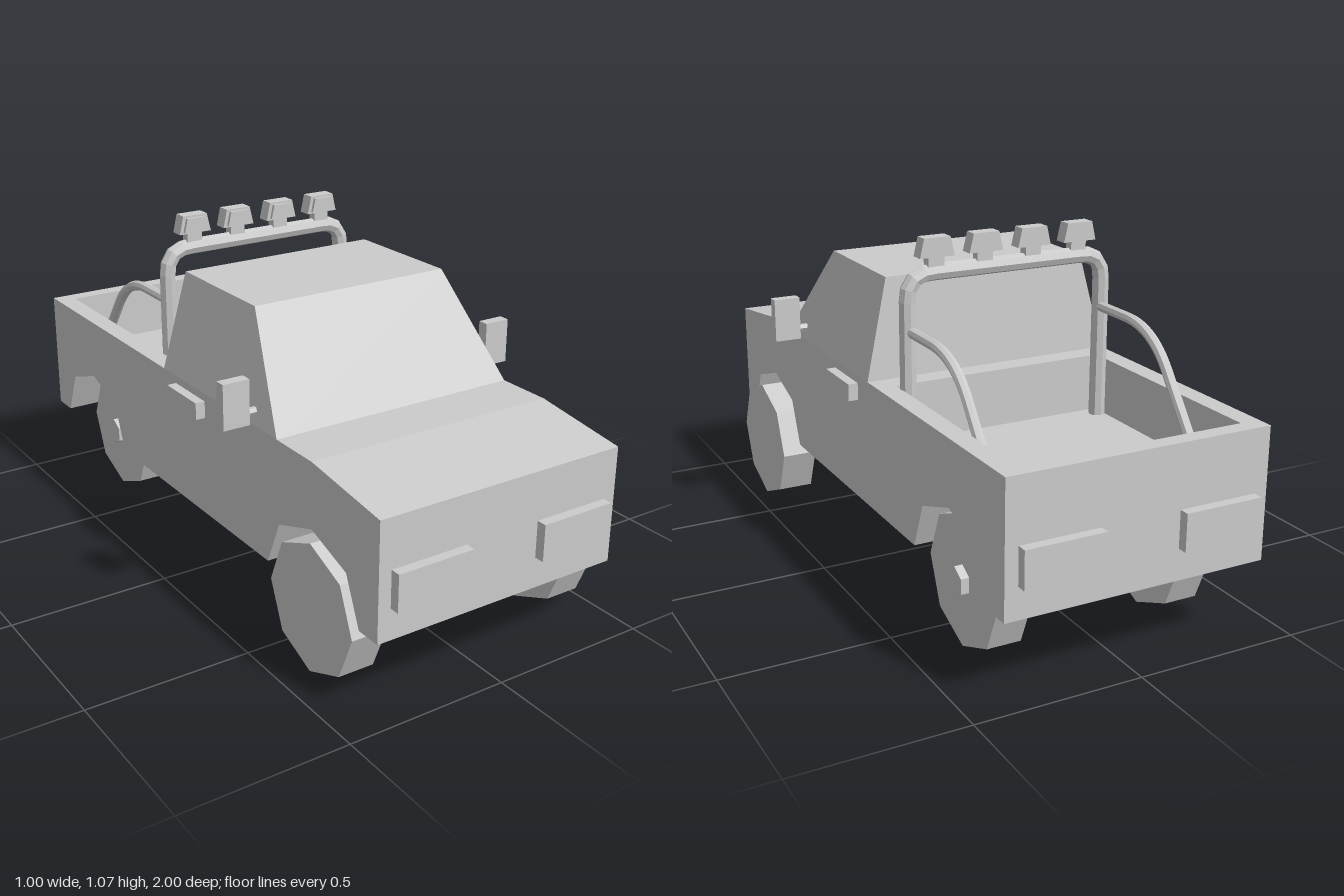
import * as THREE from 'three';

const grey = new THREE.MeshStandardMaterial({ color: 0xcccccc, flatShading: true });

export function createModel() {
  const truck = new THREE.Group();
  truck.name = 'pickupTruck';

  const add = (name, geometry, x = 0, y = 0, z = 0, parent = truck) => {
    const mesh = new THREE.Mesh(geometry, grey);
    mesh.name = name;
    mesh.position.set(x, y, z);
    parent.add(mesh);
    return mesh;
  };
  const box = (name, w, h, d, x, y, z, parent) =>
    add(name, new THREE.BoxGeometry(w, h, d), x, y, z, parent);

  // Side profile given as [z, y] points, extruded across x from x0 to x1
  const slab = (name, points, x0, x1) => {
    const shape = new THREE.Shape(points.map(([z, y]) => new THREE.Vector2(-z, y)));
    const geometry = new THREE.ExtrudeGeometry(shape, { depth: x1 - x0, bevelEnabled: false });
    add(name, geometry.rotateY(Math.PI / 2), x0);
  };

  // Cylinder lying along x with a corner pointing straight forward
  const roller = (name, radius, x0, x1, y, z, sides) => {
    const geometry = new THREE.CylinderGeometry(radius, radius, x1 - x0, sides);
    add(name, geometry.rotateZ(Math.PI / 2).rotateX(sides === 6 ? Math.PI / 2 : 0), (x0 + x1) / 2, y, z);
  };

  // Body: outline with wheel arches; the middle section has the bed cut out
  const bottom = [
    [-0.97, 0.24], [-0.885, 0.24], [-0.825, 0.38], [-0.665, 0.435], [-0.505, 0.38], [-0.45, 0.24],
    [0.45, 0.24], [0.51, 0.38], [0.67, 0.435], [0.83, 0.38], [0.89, 0.24], [0.97, 0.24],
  ];
  const hood = [[0.97, 0.59], [0.67, 0.63]];
  const bed = [[-0.21, 0.63], [-0.21, 0.455], [-0.92, 0.455], [-0.92, 0.63]];
  slab('bodyMiddleWithBed', [...bottom, ...hood, ...bed, [-0.97, 0.63]], -0.34, 0.34);
  slab('bodySideLeft', [...bottom, ...hood, [-0.97, 0.63]], 0.34, 0.4);
  slab('bodySideRight', [...bottom, ...hood, [-0.97, 0.63]], -0.4, -0.34);

  // Cab: a box narrowed towards the roof
  const cab = new THREE.BoxGeometry(0.8, 0.3, 1);
  const p = cab.attributes.position;
  for (let i = 0; i < p.count; i++) {
    const top = p.getY(i) > 0;
    const front = p.getZ(i) > 0;
    p.setX(i, Math.sign(p.getX(i)) * (top ? 0.327 : 0.4));
    p.setZ(i, front ? (top ? 0.275 : 0.5) : (top ? -0.12 : -0.142));
  }
  cab.computeVertexNormals();
  add('cab', cab, 0, 0.78, 0);

  // Wheels and axles, set slightly towards the left
  const shift = 0.0225;
  for (const side of [1, -1]) {
    const wheel = (name, inner, outer, y, z) => {
      const ends = [shift + side * inner, shift + side * outer];
      roller(name, 0.197, Math.min(...ends), Math.max(...ends), y, z, 8);
    };
    wheel('frontWheel', 0.315, 0.427, 0.197, 0.67);
    wheel('rearWheel', 0.2325, 0.335, 0.215, -0.662);
  }
  roller('frontAxle', 0.045, shift - 0.33, shift + 0.33, 0.2, 0.67, 6);
  roller('rearAxle', 0.045, shift - 0.36, shift + 0.36, 0.217, -0.662, 6);

  // Lights, door handles and mirrors on both sides
  for (const s of [1, -1]) {
    box('headlight', 0.24, 0.11, 0.04, s * 0.241, 0.388, 0.98);
    box('tailLight', 0.24, 0.11, 0.04, s * 0.241, 0.388, -0.98);
    box('doorHandle', 0.04, 0.052, 0.175, s * 0.41, 0.58, 0.02);
    box('mirror', 0.083, 0.135, 0.034, s * 0.458, 0.704, 0.373);
    add('mirrorStem', new THREE.CylinderGeometry(0.012, 0.012, 0.07, 6).rotateZ(Math.PI / 2),
      s * 0.39, 0.668, 0.373);
  }

  // Tube through corner points, each corner rounded by the given distance
  const bentTube = (name, points, radius, round) => {
    const v = points.map((q) => new THREE.Vector3(...q));
    const path = new THREE.CurvePath();
    let from = v[0];
    for (let i = 1; i < v.length - 1; i++) {
      const toward = (other) => v[i].clone().add(other.clone().sub(v[i]).setLength(round));
      const a = toward(v[i - 1]);
      const b = toward(v[i + 1]);
      path.add(new THREE.LineCurve3(from, a));
      path.add(new THREE.QuadraticBezierCurve3(a, v[i], b));
      from = b;
    }
    path.add(new THREE.LineCurve3(from, v[v.length - 1]));
    add(name, new THREE.TubeGeometry(path, 48, radius, 8, false));
  };

  // Roll bar hoop and its rear braces
  const barZ = -0.25;
  bentTube('rollBar', [[-0.32, 0.45, barZ], [-0.32, 0.963, barZ], [0.32, 0.963, barZ], [0.32, 0.45, barZ]], 0.025, 0.075);
  for (const s of [1, -1]) {
    const x = s * 0.315;
    bentTube('rollBarBrace', [[x, 0.8, barZ], [x, 0.8, -0.535], [x, 0.45, -0.795]], 0.016, 0.13);
  }

  // Roof lamps: tapered housing with a smaller raised lens
  const trapezoid = (scale, depth) => {
    const corners = [[-0.054, -0.028], [0.054, -0.028], [0.041, 0.028], [-0.041, 0.028]];
    const shape = new THREE.Shape(corners.map(([x, y]) => new THREE.Vector2(x * scale, y * scale)));
    return new THREE.ExtrudeGeometry(shape, { depth, bevelEnabled: false });
  };
  for (const x of [-0.23, -0.077, 0.08, 0.235]) {
    const lamp = new THREE.Group();
    lamp.name = 'roofLamp';
    lamp.position.set(x, 1.037, barZ);
    truck.add(lamp);
    add('lampHousing', trapezoid(1, 0.042), 0, 0, -0.022, lamp);
    add('lampLens', trapezoid(0.76, 0.012), 0, 0, 0.018, lamp);
    box('lampMount', 0.05, 0.05, 0.03, 0, -0.05, 0, lamp);
  }

  return truck;
}
